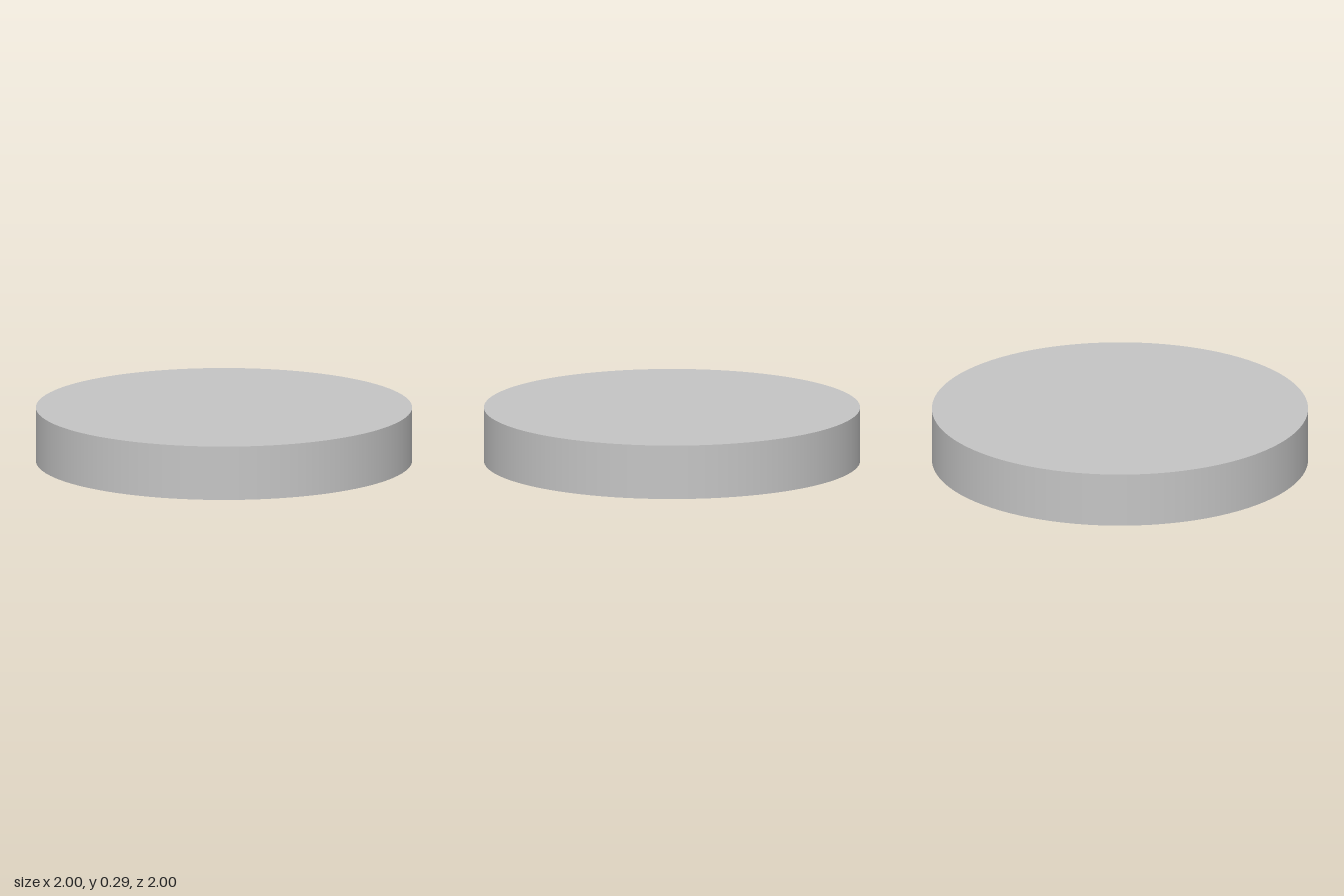
import * as THREE from 'three';

const RADIUS = 1, HEIGHT = 0.29, SEGMENTS = 96;
const HEX_RADIUS = 0.512, HEX_DEPTH = 0.154;

export function createModel() {
  const group = new THREE.Group();
  group.name = 'discWithHexPocket';
  const grey = new THREE.MeshStandardMaterial({ color: 0xc4c4c4 });
  grey.name = 'light grey';

  const add = (name, geometry, y) => {
    const mesh = new THREE.Mesh(geometry, grey);
    mesh.name = name;
    mesh.position.y = y;
    group.add(mesh);
  };

  // Smooth rim and flat top
  add('rim', new THREE.CylinderGeometry(RADIUS, RADIUS, HEIGHT, SEGMENTS, 1, true, Math.PI / 2), HEIGHT / 2);
  add('topFace', new THREE.CircleGeometry(RADIUS, SEGMENTS).rotateX(-Math.PI / 2), HEIGHT);

  // Underside with a hexagonal opening, corners on the x axis
  const ring = (radius, sides) => Array.from({ length: sides }, (_, i) => {
    const a = (i / sides) * Math.PI * 2;
    return new THREE.Vector2(Math.cos(a) * radius, Math.sin(a) * radius);
  });
  const underside = new THREE.Shape(ring(RADIUS, SEGMENTS));
  underside.holes.push(new THREE.Path(ring(HEX_RADIUS, 6).reverse()));
  add('underside', new THREE.ShapeGeometry(underside).rotateX(Math.PI / 2), 0);

  // Pocket walls: a hexagonal tube mirrored so its faces look inward
  const walls = new THREE.CylinderGeometry(HEX_RADIUS, HEX_RADIUS, HEX_DEPTH, 6, 1, true, Math.PI / 2)
    .scale(-1, 1, 1).toNonIndexed();
  walls.computeVertexNormals();
  add('pocketWalls', walls, HEX_DEPTH / 2);

  // Pocket floor, facing down
  add('pocketFloor', new THREE.CircleGeometry(HEX_RADIUS, 6).rotateX(Math.PI / 2), HEX_DEPTH);

  return group;
}
